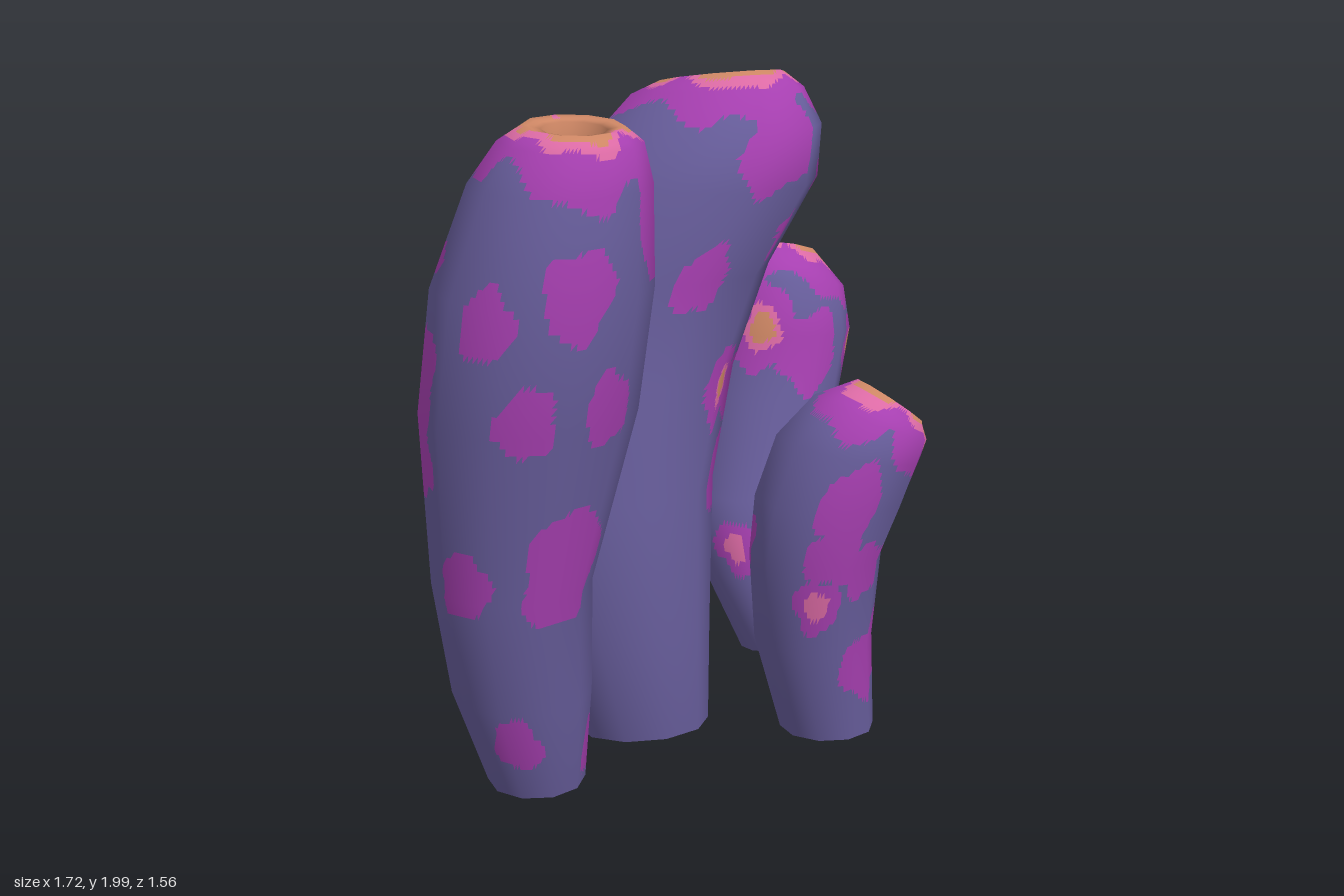
import * as THREE from 'three';

const paint = (name, color) => {
  const m = new THREE.MeshStandardMaterial({ color });
  m.name = name;
  return m;
};
const materials = [
  paint('slatePurple', 0x675d9b), paint('magenta', 0xa63fb0), paint('pink', 0xdb6aa4),
  paint('orange', 0xcd8664), paint('black', 0x060606),
];
const SIDES = 10, SUB = 12, STEP = 0.022, DEPTH = 0.1;

// One tilted, ten-sided ring of points; the first point is repeated at the end
function ringPoints({ x, y, z, r, sx, sz, oval, skew }) {
  const rx = (r * oval) / Math.hypot(1, sx), rz = r / oval / Math.hypot(1, sz);
  return Array.from({ length: SIDES + 1 }, (_, j) => {
    const a = (j / SIDES) * Math.PI * 2;
    const dx = (Math.sin(a) + skew * Math.cos(a)) * rx * 1.02;
    const dz = (Math.cos(a) + skew * Math.sin(a)) * rz * 1.02;
    return new THREE.Vector3(x + dx, y + sx * dx + sz * dz, z + dz);
  });
}

// path: [y, x, z, radius] from base to rim; hole: [x, z, radius]
// spots: [angle in degrees from the front towards +x, y, size]; glowSpots add the colour of their core
function buildTube({ name, path, oval = 1, skew = 0, baseTilt = 0, tiltX = 0, tiltZ = 0, hole, spots, glowSpots }) {
  // Outer wall, lip and inner wall are one continuous skin
  const rim = path.length - 1;
  const all = path.map(([y, x, z, r], i) => {
    const k = i === rim ? 1 : i === rim - 1 ? 0.6 : i === rim - 2 ? 0.25 : 0;
    return { x, y, z, r, oval, skew: (skew * i) / rim, sx: tiltX * k, sz: i === 0 ? baseTilt : tiltZ * k };
  });
  const [hx, hz, hr] = hole, top = all[rim];
  const hy = top.y + tiltX * (hx - top.x) + tiltZ * (hz - top.z) - 0.01;
  const up = new THREE.Vector3(-tiltX, 1, -tiltZ).normalize();
  const lip = { ...top, x: hx, y: hy, z: hz, r: hr, oval: 1 };
  const floor = { ...lip, x: hx - up.x * DEPTH, y: hy - up.y * DEPTH, z: hz - up.z * DEPTH };
  all.push(lip, floor);

  const P = all.map(ringPoints), last = P.length - 1;
  const N = P.map((row, i) => row.map((_, j) => {
    const across = row[(j + 1) % SIDES].clone().sub(row[(j + SIDES - 1) % SIDES]);
    const along = P[Math.min(i + 1, last)][j].clone().sub(P[Math.max(i - 1, 0)][j]);
    return across.cross(along).normalize();
  }));

  // Fine rows keep the faceted outline while giving the blotches soft borders
  const rows = [];
  for (let i = 0; i < last; i++) {
    const n = Math.max(2, Math.ceil(P[i][0].distanceTo(P[i + 1][0]) / STEP));
    for (let k = 0; k < n; k++) rows.push(i + k / n);
  }
  rows.push(last);
  const cols = SIDES * SUB, pos = [], nor = [];
  const sample = (G, v, u) => {
    const i = Math.min(Math.floor(v), last - 1), j = Math.min(Math.floor(u), SIDES - 1);
    const a = G[i][j].clone().lerp(G[i][j + 1], u - j);
    return a.lerp(G[i + 1][j].clone().lerp(G[i + 1][j + 1], u - j), v - i);
  };
  for (const v of rows) {
    for (let c = 0; c <= cols; c++) {
      pos.push(...sample(P, v, c / SUB).toArray());
      nor.push(...sample(N, v, c / SUB).normalize().toArray());
    }
  }

  // Colour rule: orange lip, pink and magenta bands below it, then wobbly blotches
  const colourAt = (v, u) => {
    const p = sample(P, v, u), a = (u / SIDES) * Math.PI * 2;
    const wob = 0.5 * Math.sin(3 * a + hx * 9) + 0.3 * Math.sin(7 * a) + 0.2 * Math.sin(p.y * 40 + 5 * a);
    if (v >= rim) return v < rim + 0.5 && wob < -0.55 ? 2 : 3;
    const d = p.distanceTo(sample(P, rim, u));
    let level = d < 0.015 + 0.03 * wob ? 3 : d < 0.05 + 0.05 * wob ? 2 : d < 0.16 + 0.08 * wob ? 1 : 0;
    const i = Math.floor(v), r = THREE.MathUtils.lerp(all[i].r, all[i + 1].r, v - i);
    const reach = ([deg, y, size]) => {
      const da = a - THREE.MathUtils.degToRad(deg);
      const ex = (Math.atan2(Math.sin(da), Math.cos(da)) * r) / size, ey = (p.y - y) / (size * 1.2);
      const t = Math.atan2(ey, ex);
      return Math.hypot(ex, ey) / (1 + 0.1 * Math.sin(3 * t + deg) + 0.07 * Math.sin(5 * t + y * 9));
    };
    if (spots.some((s) => reach(s) < 1)) level = Math.max(level, 1);
    for (const s of glowSpots) {
      const e = reach(s);
      level = Math.max(level, e < 0.35 ? s[3] : e < 0.52 ? 2 : e < 1 ? 1 : 0);
    }
    return level;
  };
  const faces = materials.map(() => []);
  const W = cols + 1;
  for (let i = 0; i < rows.length - 1; i++) {
    const dv = rows[i + 1] - rows[i];
    for (let c = 0; c < cols; c++) {
      const a = i * W + c;
      faces[colourAt(rows[i] + dv / 3, (c + 0.66) / SUB)].push(a, a + 1, a + W + 1);
      faces[colourAt(rows[i] + (dv * 2) / 3, (c + 0.33) / SUB)].push(a, a + W + 1, a + W);
    }
  }

  // Base and dark floor of the opening; the base shades smoothly into the wall
  const addCap = (ring, normals, { x, y, z }, flip, colour) => {
    const start = pos.length / 3;
    pos.push(x, y, z);
    nor.push(0, flip ? -1 : 1, 0);
    ring.forEach((p, j) => {
      pos.push(...p.toArray());
      nor.push(...normals[j].toArray());
    });
    for (let j = 1; j <= SIDES; j++) {
      faces[colour].push(start, start + j + (flip ? 1 : 0), start + j + (flip ? 0 : 1));
    }
  };
  addCap(P[0], N[0], all[0], true, 0);
  addCap(P[last], N[last], floor, false, 4);

  const geo = new THREE.BufferGeometry();
  geo.setAttribute('position', new THREE.Float32BufferAttribute(pos, 3));
  geo.setAttribute('normal', new THREE.Float32BufferAttribute(nor, 3));
  geo.setIndex(faces.flat());
  let offset = 0;
  faces.forEach((f, m) => {
    geo.addGroup(offset, f.length, m);
    offset += f.length;
  });
  const mesh = new THREE.Mesh(geo, materials);
  mesh.name = name;
  return mesh;
}

export function createModel() {
  const group = new THREE.Group();
  group.name = 'tubeSponge';

  group.add(buildTube({
    name: 'tallTube', tiltZ: -0.08, hole: [-0.47, 0.515, 0.085],
    path: [
      [0.085, -0.565, 0.4, 0.135], [0.37, -0.61, 0.42, 0.19], [0.7, -0.635, 0.43, 0.215],
      [1.18, -0.585, 0.45, 0.287], [1.52, -0.55, 0.48, 0.288], [1.79, -0.5, 0.49, 0.236],
      [1.9, -0.478, 0.51, 0.185], [1.94, -0.472, 0.515, 0.13],
    ],
    spots: [
      [0, 1.55, 0.1], [-21, 1.22, 0.08], [27, 1.24, 0.08], [20, 0.8, 0.14], [-48, 1.47, 0.08],
      [-28, 0.27, 0.07], [70, 1.74, 0.15], [-165, 1.32, 0.11], [-108, 1.28, 0.12], [-135, 0.82, 0.08],
      [-118, 1.6, 0.07], [-170, 1.78, 0.09], [-105, 1.06, 0.09], [-55, 0.75, 0.08], [85, 0.2, 0.09],
    ],
    glowSpots: [[95, 1.82, 0.14, 2]],
  }));

  group.add(buildTube({
    name: 'largeTube', oval: 1.04, skew: 0.15, baseTilt: 0.12, tiltZ: 0.19, hole: [0.235, -0.085, 0.105],
    path: [
      [0.03, -0.105, 0.07, 0.19], [0.37, -0.16, 0.05, 0.245], [0.8, -0.185, -0.03, 0.3],
      [1.12, -0.125, -0.11, 0.33], [1.42, -0.025, -0.14, 0.35], [1.68, 0.1, -0.11, 0.36],
      [1.83, 0.18, -0.085, 0.29], [1.93, 0.205, -0.1, 0.225], [1.972, 0.22, -0.1, 0.16],
    ],
    spots: [
      [3, 1.43, 0.08], [44, 1.53, 0.06], [15, 1.8, 0.12], [86, 1.42, 0.05], [122, 1.55, 0.07],
      [73, 1.06, 0.09], [78, 0.82, 0.11], [-158, 1.64, 0.09], [-130, 1.3, 0.11], [-152, 0.72, 0.11],
      [-100, 0.96, 0.09], [147, 1, 0.07], [147, 0.68, 0.07], [143, 0.4, 0.08], [-125, 1.82, 0.04],
      [72, 1.68, 0.04],
    ],
    glowSpots: [[45, 1.1, 0.1, 3], [-115, 0.45, 0.1, 3], [-82, 0.47, 0.08, 2]],
  }));

  group.add(buildTube({
    name: 'smallTube', baseTilt: 0.05, tiltX: -0.75, hole: [0.517, 0.455, 0.065],
    path: [
      [0.085, 0.355, 0.4, 0.138], [0.38, 0.303, 0.4, 0.171], [0.65, 0.297, 0.415, 0.19],
      [0.82, 0.345, 0.41, 0.217], [0.96, 0.395, 0.42, 0.21], [1.045, 0.45, 0.445, 0.175],
      [1.09, 0.505, 0.455, 0.112],
    ],
    spots: [
      [-15, 0.85, 0.09], [-15, 0.7, 0.08], [20, 0.64, 0.07], [30, 0.32, 0.09], [76, 0.82, 0.08],
      [66, 0.36, 0.09], [140, 0.85, 0.06], [148, 0.57, 0.06], [155, 0.27, 0.06], [-120, 0.7, 0.07],
    ],
    glowSpots: [[-25, 0.54, 0.07, 2]],
  }));

  group.add(buildTube({
    name: 'rearTube', baseTilt: 0.2, tiltX: -0.22, tiltZ: 0.32, hole: [0.63, -0.58, 0.08],
    path: [
      [0.08, 0.515, -0.22, 0.138], [0.35, 0.455, -0.285, 0.19], [0.6, 0.46, -0.385, 0.218],
      [0.9, 0.57, -0.49, 0.24], [1.08, 0.612, -0.53, 0.25], [1.23, 0.62, -0.535, 0.223],
      [1.335, 0.625, -0.56, 0.142],
    ],
    spots: [
      [36, 0.65, 0.07], [100, 0.62, 0.038], [165, 0.62, 0.055], [5, 1.05, 0.11], [-172, 1.02, 0.08],
      [-135, 0.67, 0.11], [-105, 1.07, 0.07], [140, 1.04, 0.05], [-150, 0.38, 0.05],
    ],
    glowSpots: [[74, 1.03, 0.09, 3], [-35, 1.13, 0.12, 3], [-45, 0.45, 0.07, 2]],
  }));
  return group;
}
